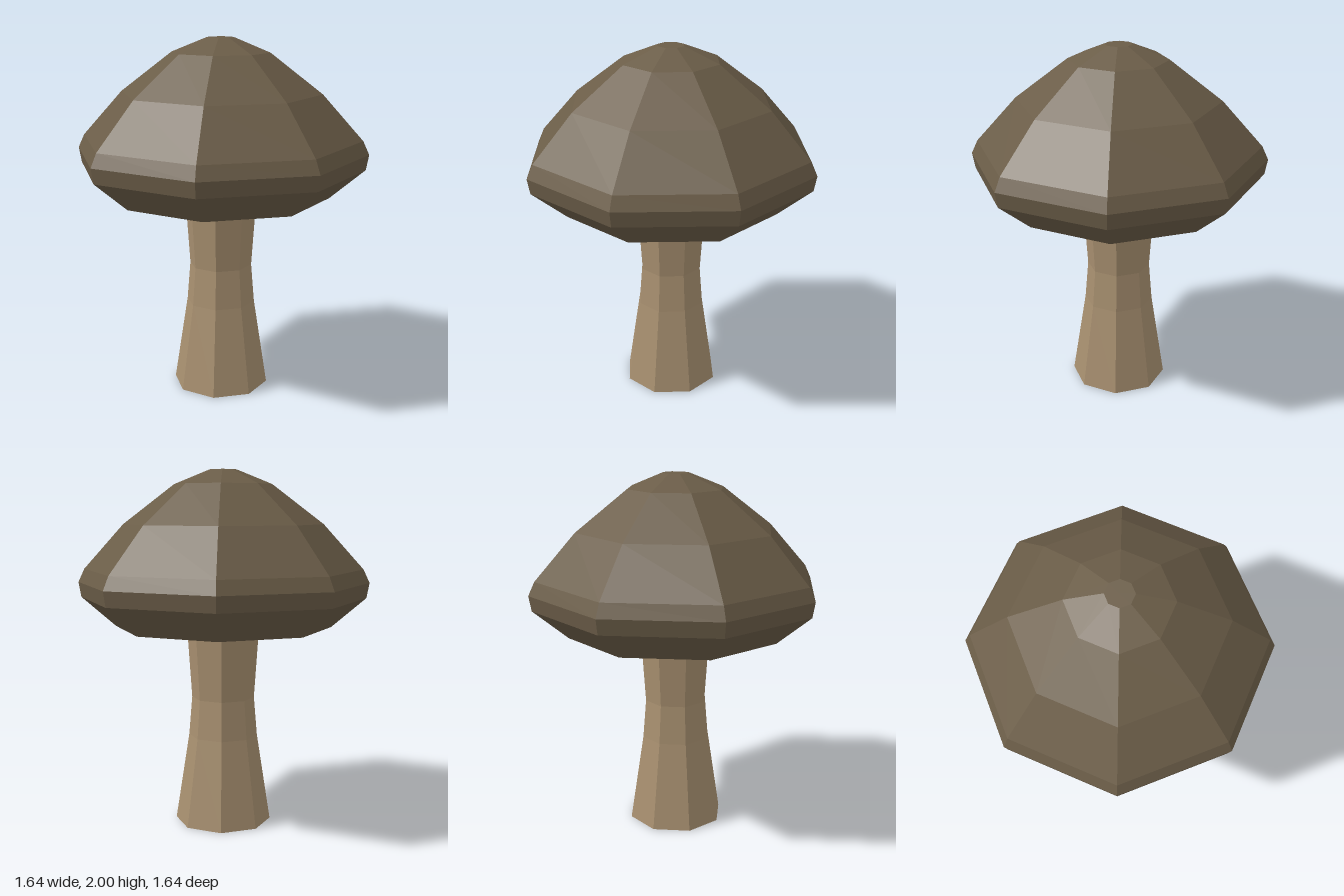
import * as THREE from 'three';

const SIDES = 8;

// Eight-sided faceted solid turned from a [radius, height] profile, bottom to top.
function turned(name, color, profile) {
  const points = profile.map(([r, y]) => new THREE.Vector2(r, y));
  const mesh = new THREE.Mesh(
    new THREE.LatheGeometry(points, SIDES),
    new THREE.MeshStandardMaterial({ color, flatShading: true })
  );
  mesh.name = name;
  return mesh;
}

export function createModel() {
  const model = new THREE.Group();
  model.name = 'mushroom';

  // Stem: flared foot, narrow waist, slightly wider where it meets the cap
  model.add(turned('stem', 0xa89070, [
    [0, 0], [0.272, 0], [0.195, 0.5], [0.177, 0.72], [0.205, 1.13], [0.212, 1.26], [0, 1.26],
  ]));

  // Cap: hollowed underside, bevelled rim and domed top with a small flat crown
  model.add(turned('cap', 0x6b5d48, [
    [0, 1.28], [0.61, 1.125], [0.805, 1.29], [0.82, 1.375], [0.785, 1.45],
    [0.56, 1.7], [0.272, 1.92], [0.075, 2], [0, 2],
  ]));

  return model;
}
